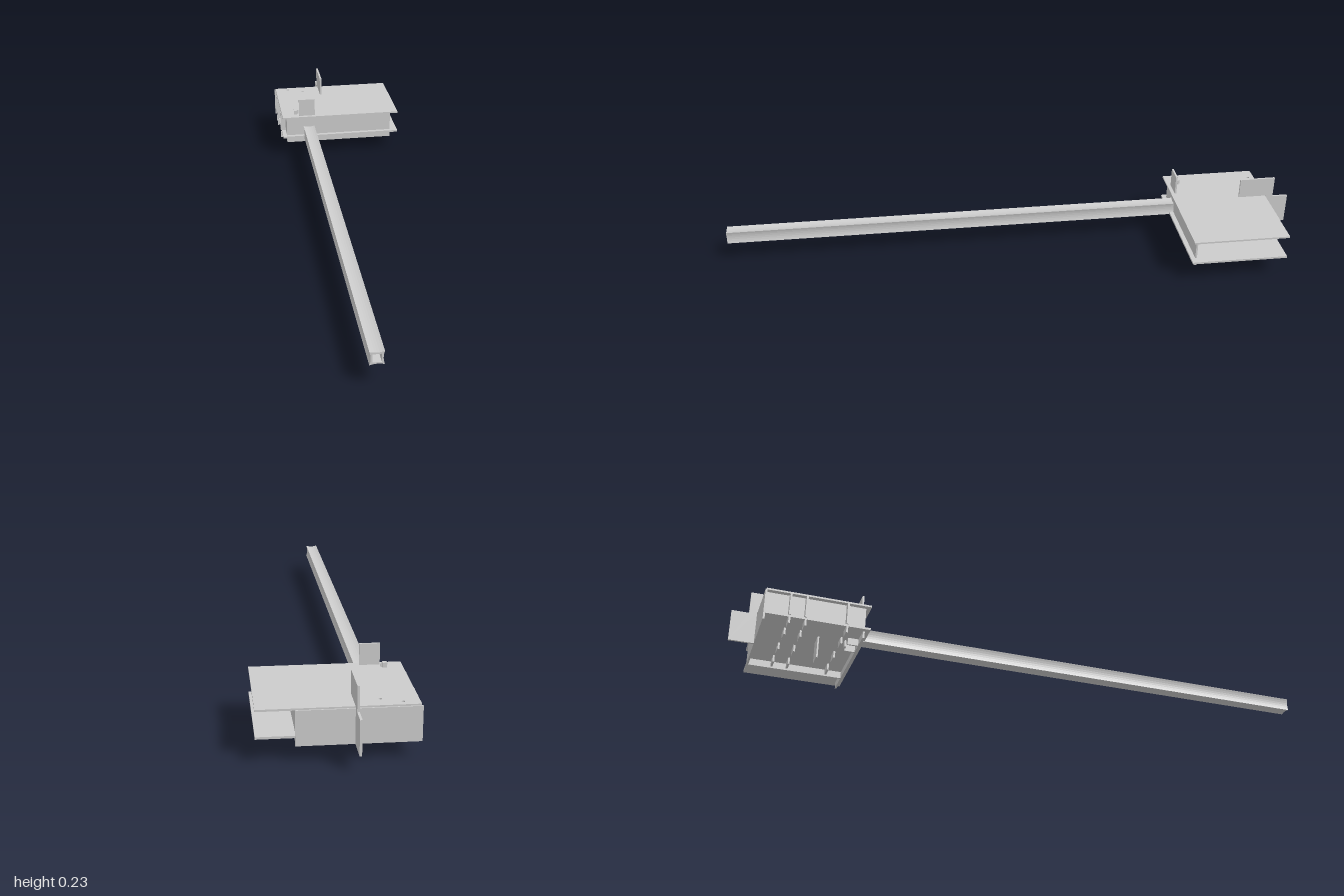
import * as THREE from 'three';

const material = new THREE.MeshStandardMaterial({ color: 0xcccccc, flatShading: true });

export function createModel() {
  const model = new THREE.Group();

  const add = (name, geometry) => {
    const mesh = new THREE.Mesh(geometry, material);
    mesh.name = name;
    model.add(mesh);
    return mesh;
  };

  // Box given by its limits on each axis
  const box = (name, [x0, x1], [y0, y1], [z0, z1]) => {
    const mesh = add(name, new THREE.BoxGeometry(x1 - x0, y1 - y0, z1 - z0));
    mesh.position.set((x0 + x1) / 2, (y0 + y1) / 2, (z0 + z1) / 2);
    return mesh;
  };

  const rectangle = (x0, x1, y0, y1) => new THREE.Shape([
    new THREE.Vector2(x0, y0), new THREE.Vector2(x1, y0),
    new THREE.Vector2(x1, y1), new THREE.Vector2(x0, y1),
  ]);

  // Top deck with two small drilled holes
  const deck = rectangle(-0.228, 0.23, 0.585, 0.916);
  for (const [x, y] of [[-0.18, 0.895], [-0.12, 0.87]]) {
    const hole = new THREE.Path();
    hole.absarc(x, y, 0.005, 0, Math.PI * 2, true);
    deck.holes.push(hole);
  }
  const topDeck = add('topDeck', new THREE.ExtrudeGeometry(deck, { depth: 0.006, bevelEnabled: false, curveSegments: 8 }));
  topDeck.rotation.x = -Math.PI / 2;
  topDeck.position.y = 0.154;

  // Lower deck
  box('lowerDeck', [-0.228, 0.23], [0.073, 0.08], [-0.916, -0.585]);

  // Upright walls between the decks
  const wallY = [0.05, 0.155];
  box('frontWall', [-0.212, 0.202], wallY, [-0.606, -0.6]);
  box('backWall', [-0.232, 0.12], wallY, [-0.92, -0.914]);
  box('innerWall', [0.112, 0.118], wallY, [-0.914, -0.606]);
  box('sideWall', [-0.212, -0.206], [0.08, 0.155], [-0.914, -0.606]);

  // Cross ribs, with tabs passing below the lower deck
  for (const z of [-0.84, -0.79, -0.66]) {
    box('crossRib', [-0.232, 0.112], [0.08, 0.154], [z - 0.003, z + 0.003]);
    for (const x of [-0.212, -0.13, -0.02, 0.08]) {
      box('ribTab', [x - 0.02, x + 0.02], [0.05, 0.073], [z - 0.003, z + 0.003]);
    }
  }

  // Boom clamp plates and tongue behind the front wall
  for (const x of [-0.151, -0.102]) {
    box('boomClamp', [x, x + 0.006], [0.05, 0.154], [-0.64, -0.606]);
  }
  box('boomTongue', [-0.131, -0.116], [0.05, 0.105], [-0.646, -0.64]);

  // Long hollow boom with slightly pinched sides
  const r = 0.0215;
  const pinch = 0.014;
  const profile = new THREE.Shape();
  profile.moveTo(-r, -r);
  profile.quadraticCurveTo(0, -pinch, r, -r);
  profile.quadraticCurveTo(pinch, 0, r, r);
  profile.quadraticCurveTo(0, pinch, -r, r);
  profile.quadraticCurveTo(-pinch, 0, -r, -r);
  profile.holes.push(rectangle(-0.013, 0.013, -0.013, 0.013));
  const boom = add('boom', new THREE.ExtrudeGeometry(profile, { depth: 1.64, bevelEnabled: false, curveSegments: 6 }));
  boom.position.set(-0.124, 0.0935, -0.64);

  // Stepped tail fin, upper part on the deck and lower part behind it
  const finShape = new THREE.Shape([
    [0.82, 0.16], [0.92, 0.16], [0.92, 0.05], [1, 0.05],
    [1, 0.155], [0.945, 0.155], [0.945, 0.23], [0.82, 0.23],
  ].map(([x, y]) => new THREE.Vector2(x, y)));
  const fin = add('tailFin', new THREE.ExtrudeGeometry(finShape, { depth: 0.007, bevelEnabled: false }));
  fin.rotation.y = Math.PI / 2;
  fin.position.x = -0.052;

  // Small plates above and below the body
  box('topPlate', [-0.162, -0.1], [0.16, 0.227], [-0.604, -0.598]);
  box('bottomPlate', [-0.126, -0.075], [0, 0.073], [-0.732, -0.727]);

  // Little block with its pin beside the top plate
  box('topBlock', [-0.18, -0.167], [0.16, 0.175], [-0.632, -0.618]);
  box('blockPin', [-0.167, -0.162], [0.16, 0.175], [-0.627, -0.623]);

  return model;
}
